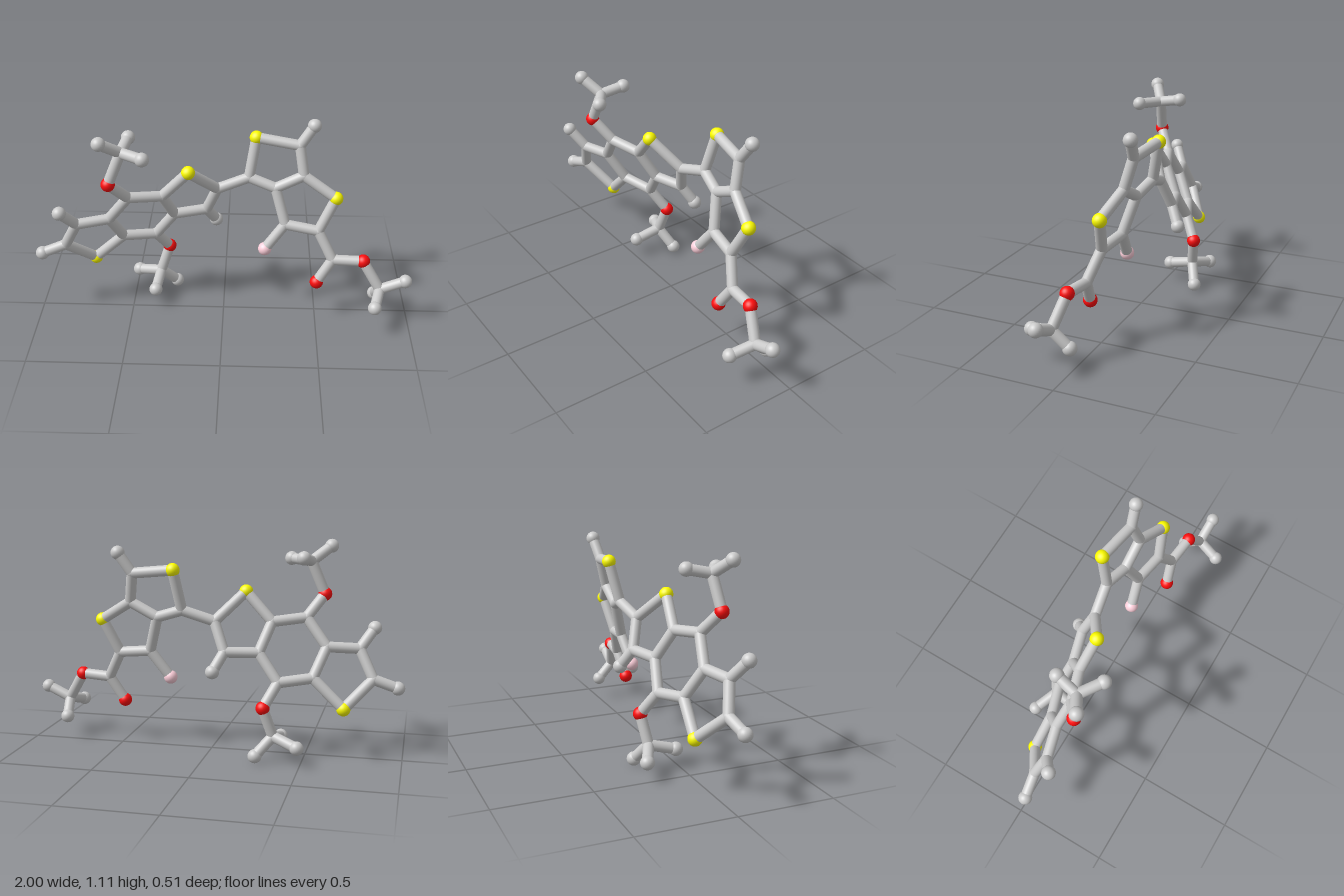
import * as THREE from 'three';

const BOND_R = 0.028, ATOM_R = 0.036;
const materials = {
  C: new THREE.MeshStandardMaterial({ color: 0xcccccc }),
  H: new THREE.MeshStandardMaterial({ color: 0xcccccc }),
  S: new THREE.MeshStandardMaterial({ color: 0xffff00 }),
  O: new THREE.MeshStandardMaterial({ color: 0xff0d0d }),
  F: new THREE.MeshStandardMaterial({ color: 0xffd1dc }),
};
const names = { C: 'carbonJoint', H: 'hydrogenBall', S: 'sulfurBall', O: 'oxygenBall', F: 'fluorineBall' };
const ballGeometry = new THREE.SphereGeometry(ATOM_R, 24, 16);
const jointGeometry = new THREE.SphereGeometry(BOND_R * 1.03, 24, 16);

// Each fused ring system is flat: depth follows from x and y
const coreZ = (x, y) => -0.389 - 0.293 * x + 0.4075 * y;
const sideZ = (x, y) => 0.046 + 0.128 * x - 0.239 * y;

// Fused three-ring core: element, x, y
const core = {
  S1: ['S', -0.18, 0.85], C2: ['C', -0.035, 0.705], C3: ['C', -0.095, 0.555],
  C3a: ['C', -0.265, 0.55], C7a: ['C', -0.32, 0.70], C8: ['C', -0.49, 0.72],
  C8a: ['C', -0.60, 0.575], C4a: ['C', -0.54, 0.425], C4: ['C', -0.37, 0.405],
  S2: ['S', -0.70, 0.275], C6: ['C', -0.84, 0.415], C7: ['C', -0.765, 0.565],
  H3: ['H', -0.045, 0.46], H6: ['H', -0.965, 0.37], H7: ['H', -0.835, 0.665],
  O1: ['O', -0.575, 0.835], O2: ['O', -0.305, 0.285],
};

// Two-ring side unit with its ester
const side = {
  T1: ['C', 0.13, 0.76], S3: ['S', 0.165, 0.97], T2: ['C', 0.39, 0.945],
  T3: ['C', 0.415, 0.79], T4: ['C', 0.27, 0.715], S4: ['S', 0.585, 0.685],
  T5: ['C', 0.50, 0.505], T6: ['C', 0.325, 0.525], F1: ['F', 0.22, 0.383],
  HT: ['H', 0.46, 1.05], E1: ['C', 0.58, 0.355], O3: ['O', 0.50, 0.225],
  O4: ['O', 0.74, 0.362],
};

// Methyl ends: element, x, y, z
const methyls = {
  M1: ['C', -0.505, 1.005, 0.10], M1a: ['H', -0.60, 1.08, 0.16],
  M1b: ['H', -0.48, 1.03, -0.022], M1c: ['H', -0.39, 1.01, 0.18],
  M2: ['C', -0.355, 0.135, -0.16], M2a: ['H', -0.485, 0.098, -0.22],
  M2b: ['H', -0.375, 0.10, -0.02], M2c: ['H', -0.27, 0.038, -0.205],
  M3: ['C', 0.835, 0.21, 0.092], M3a: ['H', 0.965, 0.268, 0.098],
  M3b: ['H', 0.80, 0.176, 0.217], M3c: ['H', 0.82, 0.125, 0.005],
};

// Chains of bonded atoms
const chains = [
  'S1 C2 C3 C3a C7a S1', 'C7a C8 C8a C4a C4 C3a', 'C4a S2 C6 C7 C8a',
  'C3 H3', 'C6 H6', 'C7 H7', 'C8 O1 M1', 'C4 O2 M2', 'C2 T1',
  'T1 S3 T2 T3 T4 T1', 'T3 S4 T5 T6 T4', 'T6 F1', 'T2 HT',
  'T5 E1 O4 M3', 'E1 O3',
  ...['M1', 'M2', 'M3'].flatMap((m) => ['a', 'b', 'c'].map((h) => `${m} ${m}${h}`)),
];

function bond(a, b) {
  const dir = b.clone().sub(a);
  const mesh = new THREE.Mesh(
    new THREE.CylinderGeometry(BOND_R, BOND_R, dir.length(), 24, 1, true), materials.C);
  mesh.position.copy(a).lerp(b, 0.5);
  mesh.quaternion.setFromUnitVectors(new THREE.Vector3(0, 1, 0), dir.normalize());
  mesh.name = 'bond';
  return mesh;
}

export function createModel() {
  const model = new THREE.Group();
  model.name = 'molecule';
  const positions = {};

  // Atoms, one group per unit
  const addAtoms = (name, table, depth) => {
    const group = new THREE.Group();
    group.name = name;
    for (const [key, [element, x, y, z]] of Object.entries(table)) {
      const mesh = new THREE.Mesh(element === 'C' ? jointGeometry : ballGeometry, materials[element]);
      mesh.position.set(x, y, depth ? depth(x, y) : z);
      mesh.name = names[element];
      positions[key] = mesh.position;
      group.add(mesh);
    }
    model.add(group);
  };
  addAtoms('coreAtoms', core, coreZ);
  addAtoms('sideAtoms', side, sideZ);
  addAtoms('methylAtoms', methyls);

  // Bond sticks
  const bonds = new THREE.Group();
  bonds.name = 'bonds';
  for (const chain of chains) {
    const keys = chain.split(' ');
    for (let i = 1; i < keys.length; i++) bonds.add(bond(positions[keys[i - 1]], positions[keys[i]]));
  }
  model.add(bonds);
  return model;
}
